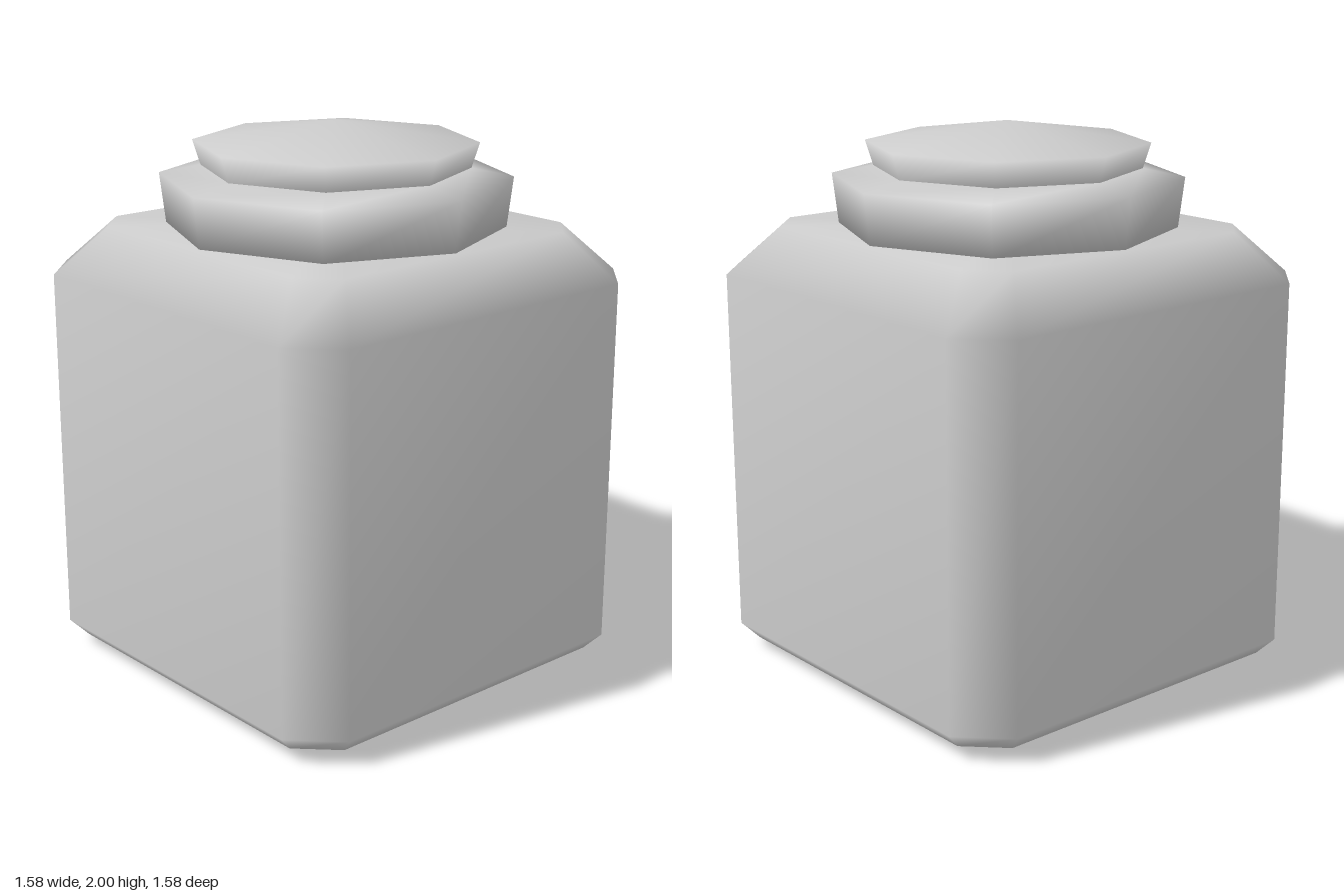
import * as THREE from 'three';

const material = new THREE.MeshStandardMaterial({ color: 0xcccccc });

// Smooth skin through a stack of eight-sided loops, with optional end caps
// given as the height of their centre point.
function loft(name, loops, bottomY, topY) {
  const n = loops[0].length;
  const positions = loops.flat(2);
  const index = [];
  for (let k = 0; k < loops.length - 1; k++) {
    for (let i = 0; i < n; i++) {
      const a = k * n + i, b = k * n + (i + 1) % n;
      index.push(a, a + n, b, b, a + n, b + n);
    }
  }
  const cap = (y, first, up) => {
    const centre = positions.length / 3;
    positions.push(0, y, 0);
    for (let i = 0; i < n; i++) {
      const a = first + i, b = first + (i + 1) % n;
      index.push(centre, ...(up ? [b, a] : [a, b]));
    }
  };
  if (bottomY !== undefined) cap(bottomY, 0, false);
  if (topY !== undefined) cap(topY, (loops.length - 1) * n, true);

  const geometry = new THREE.BufferGeometry();
  geometry.setAttribute('position', new THREE.Float32BufferAttribute(positions, 3));
  geometry.setIndex(index);
  geometry.computeVertexNormals();
  const mesh = new THREE.Mesh(geometry, material);
  mesh.name = name;
  return mesh;
}

// Square of half width h whose corners are cut at c
const square = ([y, h, c]) =>
  [[h, c], [c, h], [-c, h], [-h, c], [-h, -c], [-c, -h], [c, -h], [h, -c]]
    .map(([x, z]) => [x, y, z]);

// Regular octagon with corners on the axes
const octagon = ([y, r]) => Array.from({ length: 8 }, (_, i) => {
  const a = i * Math.PI / 4;
  return [r * Math.cos(a), y, r * Math.sin(a)];
});

export function createModel() {
  const group = new THREE.Group();
  group.name = 'jar';

  // Square body with bevelled foot and sloping shoulder
  group.add(loft('body', [
    [0, 0.6, 0.52], [0.035, 0.73, 0.6], [0.1, 0.79, 0.63],
    [1.45, 0.79, 0.63], [1.625, 0.63, 0.51],
  ].map(square), 0, 1.625));

  // Flared collar
  group.add(loft('collar', [
    [1.62, 0.61], [1.805, 0.632], [1.835, 0.48],
  ].map(octagon), 1.62, 1.835));

  // Lid with a low domed top
  group.add(loft('lid', [
    [1.83, 0.48], [1.925, 0.51],
  ].map(octagon), undefined, 2));

  return group;
}
